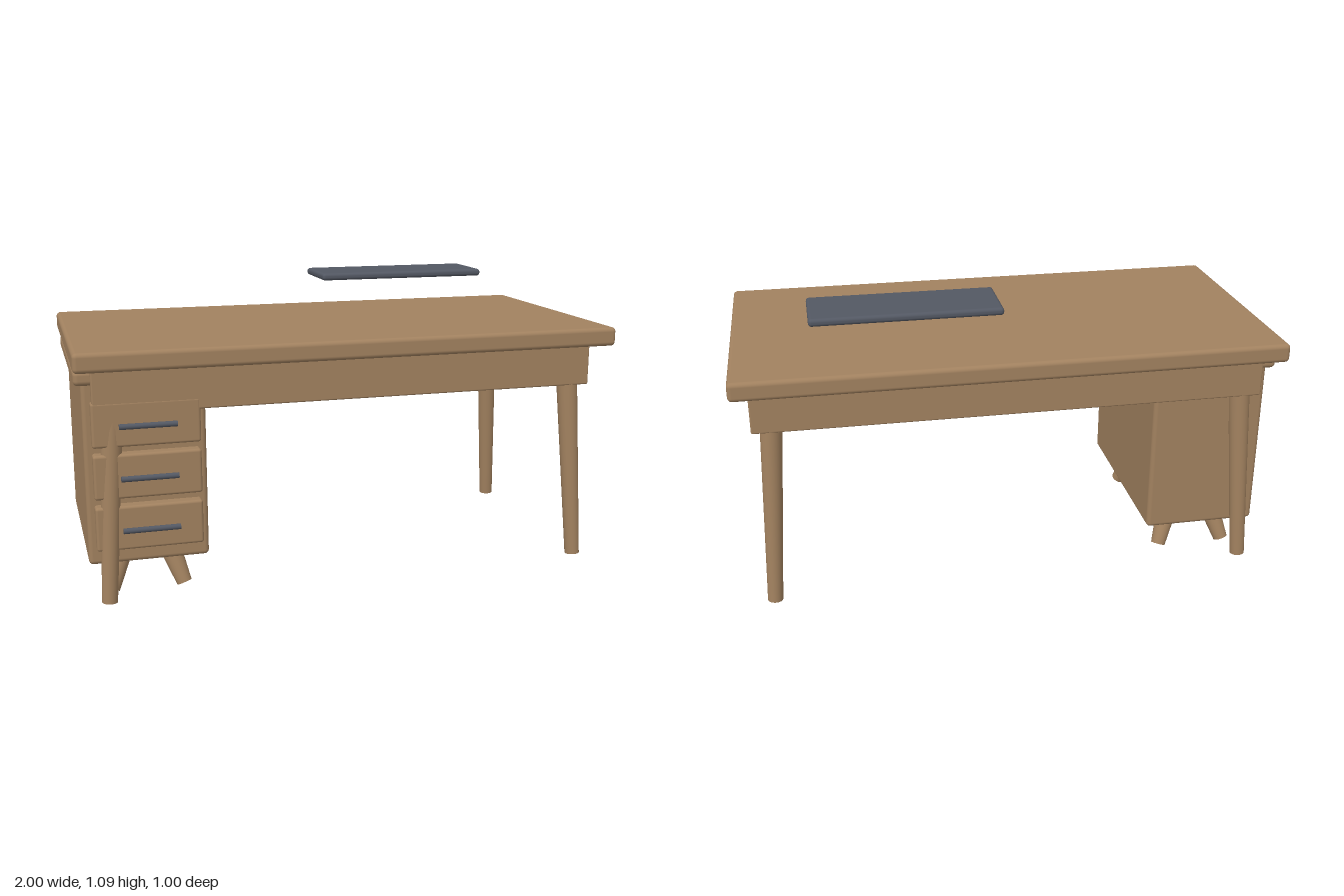
import * as THREE from 'three';
import { RoundedBoxGeometry } from 'three/addons/geometries/RoundedBoxGeometry.js';

export function createModel() {
  const desk = new THREE.Group();
  desk.name = 'desk';
  const wood = new THREE.MeshStandardMaterial({ color: 0xa1815f });
  wood.name = 'wood';
  const slate = new THREE.MeshStandardMaterial({ color: 0x535863 });
  slate.name = 'slate';

  function add(name, geometry, material) {
    const mesh = new THREE.Mesh(geometry, material);
    mesh.name = name;
    desk.add(mesh);
    return mesh;
  }

  // Rounded box given by its limits on each axis
  function box(name, [x0, x1], [y0, y1], [z0, z1], radius, material = wood) {
    const mesh = add(name, new RoundedBoxGeometry(x1 - x0, y1 - y0, z1 - z0, 4, radius), material);
    mesh.position.set((x0 + x1) / 2, (y0 + y1) / 2, (z0 + z1) / 2);
  }

  // Tapered round post between two points
  function post(name, bottom, top, bottomRadius, topRadius, material = wood) {
    const a = new THREE.Vector3(...bottom);
    const b = new THREE.Vector3(...top);
    const axis = b.clone().sub(a);
    const mesh = add(name, new THREE.CylinderGeometry(topRadius, bottomRadius, axis.length(), 24), material);
    mesh.position.copy(a).add(b).multiplyScalar(0.5);
    mesh.quaternion.setFromUnitVectors(new THREE.Vector3(0, 1, 0), axis.normalize());
  }

  box('desktop', [-1, 1], [0.86, 0.93], [-0.5, 0.5], 0.016);

  // Long rails under the front and back edges
  box('frontApron', [-0.938, 0.938], [0.7, 0.862], [0.363, 0.416], 0.006);
  box('backApron', [-0.938, 0.938], [0.7, 0.862], [-0.416, -0.363], 0.006);

  // Splayed desk legs
  for (const sx of [-1, 1]) {
    for (const sz of [-1, 1]) {
      post('leg', [sx * 0.908, 0.018, sz * 0.417], [sx * 0.86, 0.86, sz * 0.367], 0.028, 0.042);
    }
  }

  // Drawer cabinet with its cover board
  box('cabinet', [-0.97, -0.54], [0.145, 0.81], [-0.375, 0.375], 0.016);
  box('cabinetTop', [-0.995, -0.515], [0.798, 0.852], [-0.4, 0.4], 0.018);

  // Drawers and their bar handles
  for (const y of [0.287, 0.475, 0.661]) {
    box('drawerFront', [-0.943, -0.565], [y - 0.08, y + 0.08], [0.365, 0.417], 0.01);
    post('drawerHandle', [-0.852, y, 0.447], [-0.652, y, 0.447], 0.01, 0.01, slate);
  }

  // Short splayed cabinet feet
  for (const sx of [-1, 1]) {
    for (const sz of [-1, 1]) {
      post('cabinetFoot', [-0.755 + sx * 0.133, 0.012, sz * 0.287],
        [-0.755 + sx * 0.083, 0.16, sz * 0.234], 0.028, 0.042);
    }
  }

  // Dark panel hovering above the desktop
  box('panel', [0.033, 0.715], [1.065, 1.093], [-0.375, -0.126], 0.012, slate);

  return desk;
}
